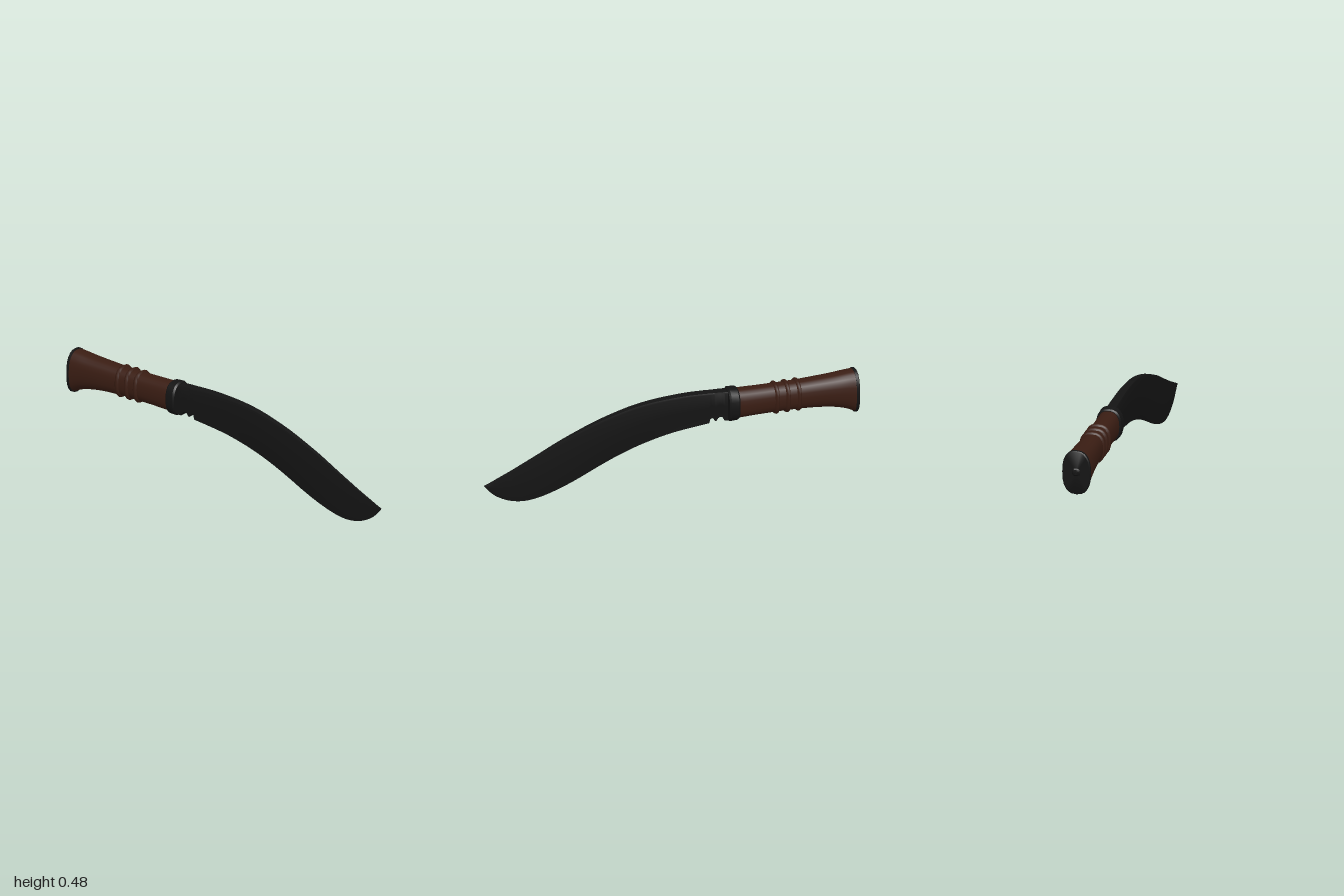
import * as THREE from 'three';
import { toCreasedNormals } from 'three/addons/utils/BufferGeometryUtils.js';

const steel = new THREE.MeshStandardMaterial({ color: 0x141414 });
const wood = new THREE.MeshStandardMaterial({ color: 0x3a1d13 });

// Skin a series of closed rings running along +x, capped at both ends.
function loft(rings, crease) {
  const n = rings[0].length, pos = [], idx = [];
  rings.forEach(r => r.forEach(p => pos.push(...p)));
  for (let i = 0; i < rings.length - 1; i++) {
    for (let j = 0; j < n; j++) {
      const a = i * n + j, b = i * n + (j + 1) % n;
      idx.push(a, a + n, b, b, a + n, b + n);
    }
  }
  [0, rings.length - 1].forEach((r, end) => {
    const c = pos.length / 3;
    pos.push(...[0, 1, 2].map(k => rings[r].reduce((s, p) => s + p[k], 0) / n));
    for (let j = 0; j < n; j++) {
      const a = r * n + j, b = r * n + (j + 1) % n;
      idx.push(c, end ? b : a, end ? a : b);
    }
  });
  const g = new THREE.BufferGeometry();
  g.setAttribute('position', new THREE.Float32BufferAttribute(pos, 3));
  g.setIndex(idx);
  return toCreasedNormals(g, crease);
}

// Rounded oval section: x, bottom, top, half width.
function oval([x, y0, y1, w], sides = 24) {
  const ring = [], soft = v => Math.sign(v) * Math.pow(Math.abs(v), 0.8);
  for (let j = 0; j < sides; j++) {
    const a = (j / sides) * Math.PI * 2;
    ring.push([x, (y0 + y1) / 2 + soft(Math.sin(a)) * (y1 - y0) / 2, soft(Math.cos(a)) * w]);
  }
  return ring;
}

// Blade section: spine keeps its thickness, the belly thins to an edge.
function bladeSection(x, y0, y1) {
  const t = THREE.MathUtils.lerp(0.027, 0.003, Math.pow(THREE.MathUtils.clamp((x + 0.3) / 1.29, 0, 1), 1.1));
  const edge = THREE.MathUtils.lerp(0.8, 0.05, THREE.MathUtils.smoothstep(x, -0.2, 0.45));
  const side = [0, 0.2, 0.5, 0.95, 1].map((v, i) => {
    const k = [edge, Math.max(edge, 0.65), Math.max(edge, 0.9), 1, 0.88][i];
    return [x, y0 + (y1 - y0) * v, t * k];
  });
  return [...side, ...side.map(([a, b, c]) => [a, b, -c]).reverse()];
}

export function createModel() {
  const model = new THREE.Group();
  const add = (name, geometry, material) => {
    const mesh = new THREE.Mesh(geometry, material);
    mesh.name = name;
    model.add(mesh);
  };
  const ovals = (name, sections, material, crease = 0.6) =>
    add(name, loft(sections.map(s => oval(s)), crease), material);

  // Flared wooden grip
  const gripCurve = new THREE.CatmullRomCurve3([
    [-0.975, 0.254, 0.482], [-0.93, 0.276, 0.478], [-0.87, 0.293, 0.472], [-0.78, 0.306, 0.467],
    [-0.67, 0.312, 0.463], [-0.5, 0.313, 0.463], [-0.34, 0.309, 0.467],
  ].map(p => new THREE.Vector3(...p)));
  const grip = [];
  for (let i = 0; i <= 24; i++) {
    const p = gripCurve.getPoint(i / 24);
    const flare = Math.max(0, (-0.6 - p.x) / 0.375);
    grip.push([p.x, p.y, p.z, 0.057 + 0.016 * Math.pow(flare, 1.3)]);
  }
  ovals('grip', grip, wood);

  // Raised rings around the grip
  [-0.672, -0.613, -0.555].forEach((x, i) => {
    const ring = [[-0.012, -0.004], [-0.009, 0.005], [0, 0.009], [0.009, 0.005], [0.012, -0.004]]
      .map(([dx, r]) => [x + dx, 0.311 - r, 0.464 + r, 0.059 + r]);
    ovals('gripRing' + (i + 1), ring, wood, 1);
  });

  // Pommel plate with its rivet
  ovals('pommelCap', [[-0.99, 0.256, 0.479, 0.069], [-0.986, 0.25, 0.485, 0.074],
    [-0.972, 0.25, 0.485, 0.074]], steel);
  ovals('pommelRivet', [[-1, 0.359, 0.387, 0.014], [-0.995, 0.352, 0.394, 0.021],
    [-0.985, 0.35, 0.396, 0.023]], steel);

  // Bolster between grip and blade
  ovals('bolster', [[-0.355, 0.306, 0.47, 0.06], [-0.348, 0.3, 0.477, 0.066],
    [-0.308, 0.298, 0.479, 0.067], [-0.299, 0.304, 0.472, 0.061]], steel);

  // Blade base with its double notch, as x, bottom, top
  const blade = [
    [-0.32, 0.306, 0.465], [-0.284, 0.305, 0.468], [-0.279, 0.318, 0.468], [-0.27, 0.327, 0.469],
    [-0.258, 0.33, 0.469], [-0.248, 0.325, 0.47], [-0.238, 0.311, 0.47], [-0.232, 0.311, 0.47],
    [-0.224, 0.325, 0.471], [-0.215, 0.33, 0.471], [-0.206, 0.326, 0.471], [-0.201, 0.304, 0.472],
  ];
  // Curved blade to the tip
  const curve = new THREE.CatmullRomCurve3([
    [-0.196, 0.303, 0.472], [-0.1, 0.291, 0.475], [0, 0.275, 0.472], [0.1, 0.25, 0.464],
    [0.2, 0.218, 0.448], [0.3, 0.178, 0.422], [0.4, 0.132, 0.39], [0.5, 0.084, 0.35],
    [0.6, 0.043, 0.306], [0.7, 0.013, 0.256], [0.78, 0.004, 0.217], [0.86, 0.018, 0.179],
    [0.93, 0.053, 0.148], [0.97, 0.089, 0.13], [0.995, 0.119, 0.121],
  ].map(p => new THREE.Vector3(...p)));
  curve.getPoints(56).forEach(p => blade.push([p.x, p.y, p.z]));
  add('blade', loft(blade.map(s => bladeSection(...s)), 0.5), steel);

  return model;
}
